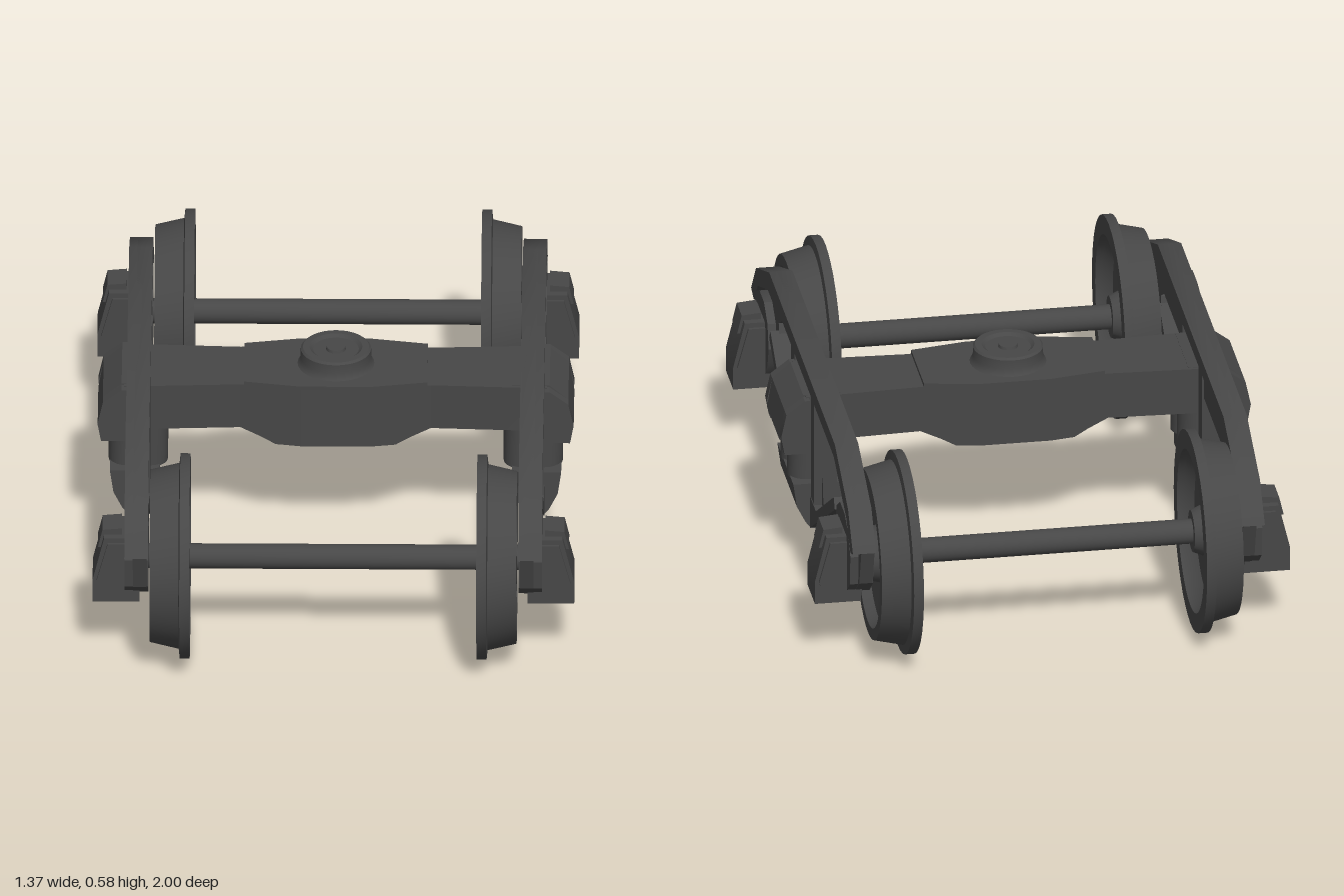
import * as THREE from 'three';
import { toCreasedNormals } from 'three/addons/utils/BufferGeometryUtils.js';

const AXLE_Y = 0.293, AXLE_Z = 0.71;

export function createModel() {
  const castIron = new THREE.MeshStandardMaterial({ color: 0x474747 });
  castIron.name = 'castIron';
  const model = new THREE.Group();
  model.name = 'railBogie';

  const add = (parent, name, geometry, crease = 0.5) => {
    const mesh = new THREE.Mesh(toCreasedNormals(geometry, crease), castIron);
    mesh.name = name;
    parent.add(mesh);
    return mesh;
  };
  const toShape = (pts) => new THREE.Shape(pts.map(([a, b]) => new THREE.Vector2(a, b)));
  const mirror = (half) => [...half, ...half.slice().reverse().map(([a, b]) => [-a, b])];
  // Side profile (z, y) extruded across x0..x1
  const acrossX = (pts, x0, x1, holes = []) => {
    const shape = toShape(pts.map(([z, y]) => [-z, y]));
    shape.holes = holes.map((h) => toShape(h.map(([z, y]) => [-z, y])));
    return new THREE.ExtrudeGeometry(shape, { depth: x1 - x0, bevelEnabled: false })
      .rotateY(Math.PI / 2).translate(x0, 0, 0);
  };
  // Front profile (x, y) extruded along z0..z1
  const alongZ = (pts, z0, z1) =>
    new THREE.ExtrudeGeometry(toShape(pts), { depth: z1 - z0, bevelEnabled: false }).translate(0, 0, z0);
  const box = (x0, x1, y0, y1, z0, z1) => new THREE.BoxGeometry(x1 - x0, y1 - y0, z1 - z0)
    .translate((x0 + x1) / 2, (y0 + y1) / 2, (z0 + z1) / 2);

  // Wheel profile (radius, x) from the inner face round to the outer face
  const wheelProfile = [
    [0, 0.41], [0.06, 0.41], [0.072, 0.438], [0.2, 0.452], [0.228, 0.425], [0.235, 0.407],
    [0.291, 0.407], [0.291, 0.435], [0.264, 0.438], [0.245, 0.52], [0.212, 0.52], [0.2, 0.49],
    [0.085, 0.48], [0.075, 0.52], [0, 0.52],
  ].map(([r, x]) => new THREE.Vector2(r, x));

  // Side frame outlines, half of each, running from the middle outward
  const frameHalf = [
    [0.15, 0.112], [0.57, 0.372], [0.60, 0.27], [0.65, 0.21], [0.77, 0.21], [0.85, 0.27],
    [0.885, 0.38], [0.80, 0.482], [0.57, 0.577],
  ];
  const trussWindow = [
    [0.20, 0.46], [0.49, 0.46], [0.55, 0.425], [0.54, 0.395], [0.24, 0.21], [0.22, 0.25],
    [0.22, 0.28], [0.20, 0.305],
  ];
  const bolsterWindow = [[-0.14, 0.24], [0.14, 0.24], [0.14, 0.53], [-0.14, 0.53]];
  const topFlange = [
    [0, 0.53], [0.55, 0.53], [0.77, 0.44], [0.84, 0.365], [0.885, 0.38], [0.80, 0.482], [0.57, 0.577],
    [0, 0.577],
  ];
  const pedestal = [
    [0.58, 0.33], [0.60, 0.27], [0.65, 0.21], [0.77, 0.21], [0.83, 0.26], [0.84, 0.35], [0.80, 0.41],
    [0.74, 0.44], [0.66, 0.44], [0.60, 0.40],
  ];
  const strut = [[0.14, 0.112], [0.57, 0.372], [0.55, 0.402], [0.24, 0.21], [0.14, 0.21]];
  const flipZ = (pts) => pts.map(([z, y]) => [-z, y]);

  // The right side is the left side turned half round
  for (const [sideName, turn] of [['left', 0], ['right', Math.PI]]) {
    const side = new THREE.Group();
    side.name = sideName + 'Side';
    side.rotation.y = turn;
    model.add(side);

    add(side, 'frameWeb', acrossX(mirror(frameHalf), 0.53, 0.568,
      [trussWindow, flipZ(trussWindow), bolsterWindow]));
    add(side, 'springPlank', box(0.525, 0.592, 0.112, 0.21, -0.145, 0.145));
    add(side, 'springSeat', alongZ([[0.5, 0.25], [0.5, 0.16], [0.59, 0.112], [0.605, 0.13], [0.63, 0.18],
      [0.64, 0.25]], -0.14, 0.14));

    // Bolster end with lower ears that guide it between the columns
    add(side, 'bolsterEnd', alongZ([[0.5, 0.38], [0.675, 0.38], [0.66, 0.47], [0.607, 0.515], [0.5, 0.515]],
      -0.11, 0.11));

    for (const s of [1, -1]) {
      const orient = (pts) => (s > 0 ? pts : flipZ(pts));
      add(side, 'topFlange', acrossX(orient(topFlange), 0.525, 0.592));
      add(side, 'pedestal', acrossX(orient(pedestal), 0.525, 0.592));
      add(side, 'strut', acrossX(orient(strut), 0.525, 0.592));
      add(side, 'column', box(0.525, 0.59, 0.2, 0.535, s > 0 ? 0.14 : -0.2, s > 0 ? 0.2 : -0.14));
      add(side, 'bolsterEar', alongZ([[0.592, 0.345], [0.665, 0.345], [0.675, 0.4], [0.66, 0.47],
        [0.607, 0.51], [0.592, 0.51]], s > 0 ? 0.108 : -0.14, s > 0 ? 0.14 : -0.108));
      for (const x of [0.59, 0.53]) {
        add(side, 'spring', new THREE.CylinderGeometry(0.054, 0.054, 0.14, 20).translate(x, 0.315, s * 0.057));
      }

      // Axle box and its raised lid hinge
      const z = s * AXLE_Z;
      add(side, 'axleBox', alongZ([[0.55, 0.18], [0.683, 0.18], [0.683, 0.25], [0.65, 0.385], [0.55, 0.385]],
        z - 0.065, z + 0.065));
      add(side, 'axleBoxCheek', alongZ([[0.55, 0.21], [0.66, 0.21], [0.672, 0.25], [0.64, 0.37], [0.55, 0.37]],
        z - 0.074, z + 0.074));
      add(side, 'axleBoxLid', alongZ([[0.6, 0.345], [0.668, 0.345], [0.655, 0.4], [0.6, 0.405]],
        z - 0.043, z + 0.043));

      add(side, 'wheel', new THREE.LatheGeometry(wheelProfile, 40)
        .rotateZ(-Math.PI / 2).translate(0, AXLE_Y, z));
    }
  }

  for (const s of [1, -1]) {
    add(model, 'axle', new THREE.CylinderGeometry(0.036, 0.036, 1.1, 20)
      .rotateZ(Math.PI / 2).translate(0, AXLE_Y, s * AXLE_Z));
  }

  // Bolster beam: box whose slices are moved to [x, half depth, underside]
  const halfBeam = [[0.1, 0.138, 0.33], [0.17, 0.126, 0.33], [0.21, 0.119, 0.35], [0.27, 0.109, 0.375],
    [0.525, 0.121, 0.375], [0.6, 0.121, 0.375]];
  const slices = [...halfBeam.slice().reverse().map(([x, d, y]) => [-x, d, y]), ...halfBeam];
  const beam = new THREE.BoxGeometry(slices.length - 1, 2, 2, slices.length - 1, 1, 1);
  const pos = beam.attributes.position;
  for (let i = 0; i < pos.count; i++) {
    const [x, depth, underside] = slices[Math.round(pos.getX(i) + (slices.length - 1) / 2)];
    pos.setXYZ(i, x, pos.getY(i) > 0 ? 0.514 : underside, Math.sign(pos.getZ(i)) * depth);
  }
  add(model, 'bolster', beam, 0.1);

  // Wear plate on top of the beam
  const plate = [[-0.26, -0.112], [-0.1, -0.14], [0.1, -0.14], [0.26, -0.112], [0.26, 0.112], [0.1, 0.14],
    [-0.1, 0.14], [-0.26, 0.112]];
  add(model, 'wearPlate', new THREE.ExtrudeGeometry(toShape(plate), { depth: 0.011, bevelEnabled: false })
    .rotateX(-Math.PI / 2).translate(0, 0.514, 0));

  // Centre bowl with flared foot, dished top and pivot pin
  const bowl = [[0.114, 0.52], [0.106, 0.528], [0.1, 0.545], [0.1, 0.572], [0.094, 0.578], [0.075, 0.578],
    [0.065, 0.57], [0.028, 0.57], [0.026, 0.578], [0, 0.578]].map(([r, y]) => new THREE.Vector2(r, y));
  add(model, 'centreBowl', new THREE.LatheGeometry(bowl, 32));

  return model;
}
